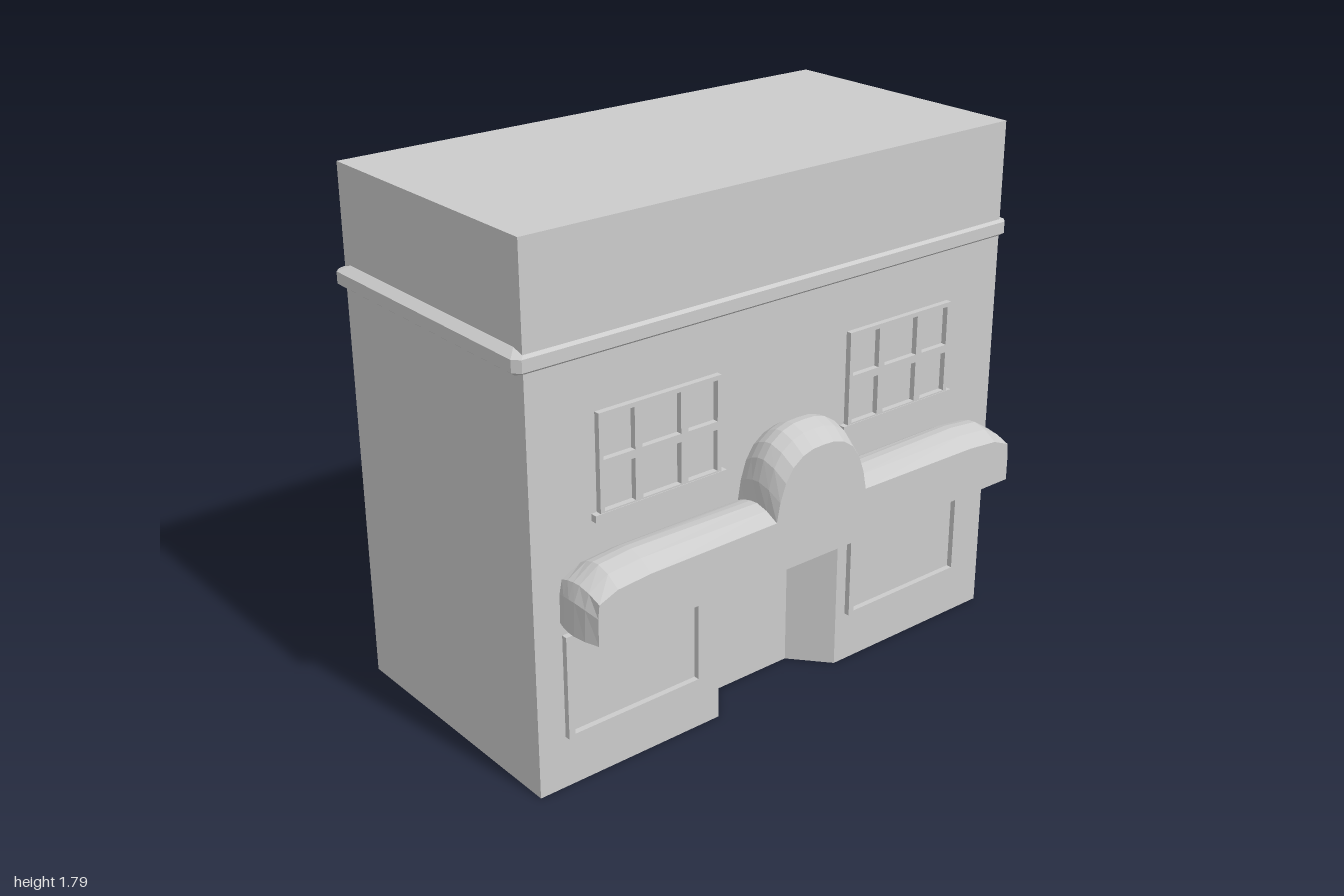
import * as THREE from 'three';

const material = new THREE.MeshStandardMaterial({ color: 0xcccccc, flatShading: true });
const thinMaterial = new THREE.MeshStandardMaterial({ color: 0xcccccc, flatShading: true, side: THREE.DoubleSide });

const FRONT = 0.4, BACK = -0.568, HALF = 0.967, HEIGHT = 1.79, DOOR_TOP = 0.58;

function add(parent, name, geometry, mat = material) {
  const mesh = new THREE.Mesh(geometry, mat);
  mesh.name = name;
  parent.add(mesh);
  return mesh;
}

function box(parent, name, x0, x1, y0, y1, z0, z1) {
  const mesh = add(parent, name, new THREE.BoxGeometry(x1 - x0, y1 - y0, z1 - z0));
  mesh.position.set((x0 + x1) / 2, (y0 + y1) / 2, (z0 + z1) / 2);
  return mesh;
}

// Skin between successive cross-sections with equal point counts
function loft(rings, closed) {
  const n = rings[0].length;
  const index = [];
  for (let r = 0; r < rings.length - 1; r++) {
    for (let i = 0; i < (closed ? n : n - 1); i++) {
      const a = r * n + i, b = r * n + (i + 1) % n;
      index.push(a, a + n, b, b, a + n, b + n);
    }
  }
  const geometry = new THREE.BufferGeometry();
  geometry.setAttribute('position', new THREE.Float32BufferAttribute(rings.flat(2), 3));
  geometry.setIndex(index);
  geometry.computeVertexNormals();
  return geometry;
}

function rectPoints(u0, u1, v0, v1) {
  return [[u0, v0], [u1, v0], [u1, v1], [u0, v1]].map(([u, v]) => new THREE.Vector2(u, v));
}

// Frame lying on the facade, with rectangular openings [u0, u1, v0, v1]
function frameGeometry(outer, openings) {
  const shape = new THREE.Shape(rectPoints(...outer));
  for (const o of openings) shape.holes.push(new THREE.Path(rectPoints(...o).reverse()));
  const geometry = new THREE.ExtrudeGeometry(shape, { depth: 0.02, bevelEnabled: false });
  return geometry.rotateY(Math.PI / 2);
}

function upperWindow(z) {
  const group = new THREE.Group();
  group.name = 'upperWindow';
  const openings = [];
  for (const [u0, u1] of [[-0.215, -0.1], [-0.073, 0.073], [0.1, 0.215]]) {
    for (const [v0, v1] of [[0.905, 1.043], [1.07, 1.205]]) openings.push([u0, u1, v0, v1]);
  }
  add(group, 'windowFrame', frameGeometry([-0.23, 0.23, 0.89, 1.22], openings));
  box(group, 'windowSill', 0, 0.022, 0.877, 0.9, -0.25, 0.25);
  group.position.set(FRONT, 0, z);
  return group;
}

function shopWindow(z) {
  const mesh = new THREE.Mesh(
    frameGeometry([-0.265, 0.265, 0.18, 0.535], [[-0.242, 0.242, 0.192, 0.463]]), material);
  mesh.name = 'shopWindowFrame';
  mesh.position.set(FRONT, 0, z);
  return mesh;
}

// Beveled band around the building
function cornice() {
  const ring = (y, inset) => {
    const x0 = -0.587 + inset, x1 = 0.413 - inset, z = 1 - inset, c = 0.022;
    return [[x0, -z + c], [x0, z - c], [x0 + c, z], [x1 - c, z],
      [x1, z - c], [x1, -z + c], [x1 - c, -z], [x0 + c, -z]].map(([px, pz]) => [px, y, pz]);
  };
  const rings = [ring(1.465, 0.033), ring(1.445, 0), ring(1.405, 0), ring(1.38, 0.033)];
  return loft(rings, true);
}

// Awning: half outlines [z, y], full at mid depth and shrunk towards the edges
function awning() {
  const full = [[0.895, 0.58], [0.89, 0.69], [0.87, 0.74], [0.8, 0.785], [0.68, 0.797], [0.19, 0.79],
    [0.184, 0.86], [0.165, 0.93], [0.135, 0.975], [0.09, 1.005], [0.045, 1.018], [0, 1.02]];
  const small = [[0.873, 0.58], [0.873, 0.67], [0.868, 0.715], [0.8, 0.742], [0.68, 0.752], [0.19, 0.756],
    [0.177, 0.82], [0.155, 0.88], [0.125, 0.924], [0.085, 0.952], [0.045, 0.964], [0, 0.966]];
  const outline = t => {
    const half = full.map(([z, y], i) => [z + (small[i][0] - z) * t, y + (small[i][1] - y) * t]);
    return [...half, ...half.slice(0, -1).reverse().map(([z, y]) => [-z, y])];
  };
  const slices = [[0.4, 0.7], [0.43, 0.3], [0.46, 0.07], [0.49, 0], [0.535, 0.3], [0.583, 1]];
  const group = new THREE.Group();
  group.name = 'awning';
  add(group, 'awningCover', loft(slices.map(([x, t]) => outline(t).map(([z, y]) => [x, y, z])), false), thinMaterial);
  const face = new THREE.ShapeGeometry(new THREE.Shape(outline(1).map(([z, y]) => new THREE.Vector2(-z, y))));
  add(group, 'awningFascia', face.rotateY(Math.PI / 2), thinMaterial).position.x = 0.583;
  group.position.z = -0.006;
  return group;
}

export function createModel() {
  const model = new THREE.Group();
  model.name = 'shopBuilding';

  // Ground floor with a tapered entrance recess
  const plan = [[BACK, -HALF], [FRONT, -HALF], [FRONT, -0.26], [0.27, -0.15],
    [0.27, 0.15], [FRONT, 0.26], [FRONT, HALF], [BACK, HALF]];
  const floor = new THREE.ExtrudeGeometry(
    new THREE.Shape(plan.map(([x, z]) => new THREE.Vector2(x, z))), { depth: DOOR_TOP, bevelEnabled: false });
  add(model, 'groundFloor', floor.rotateX(-Math.PI / 2));

  box(model, 'upperFloor', BACK, FRONT, DOOR_TOP, HEIGHT, -HALF, HALF);
  add(model, 'cornice', cornice(), thinMaterial);
  model.add(awning());

  for (const z of [0.5, -0.498]) model.add(upperWindow(z));
  for (const z of [0.603, -0.568]) model.add(shopWindow(z));

  return model;
}
